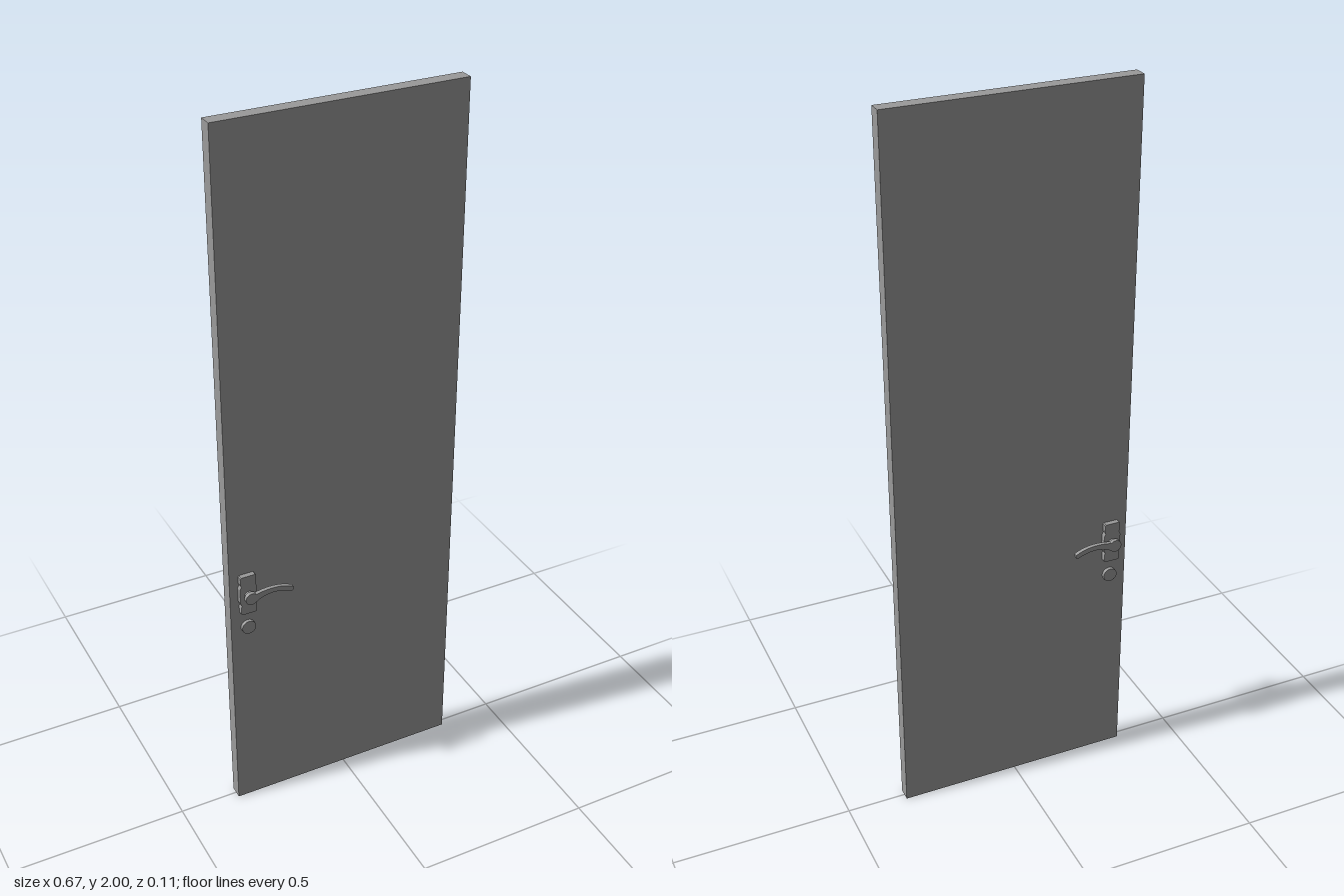
import * as THREE from 'three';
import { toCreasedNormals } from 'three/addons/utils/BufferGeometryUtils.js';

const material = new THREE.MeshStandardMaterial({ color: 0x9a9a9a });
const FACE = 0.0188; // half the thickness of the door
const X = -0.286; // axis of the lock hardware
const Y = 0.709; // height of the lever spindle

function add(parent, name, geometry, x = 0, y = 0, z = 0) {
  const mesh = new THREE.Mesh(toCreasedNormals(geometry, 0.6), material);
  mesh.name = name;
  mesh.position.set(x, y, z);
  parent.add(mesh);
}

function extrude(shape, depth) {
  return new THREE.ExtrudeGeometry(shape, { depth, bevelEnabled: false, curveSegments: 10 });
}

// Round part whose axis runs along z
function disc(radius, depth) {
  return new THREE.CylinderGeometry(radius, radius, depth, 20).rotateX(Math.PI / 2);
}

// Tall plate with squared ends, slight notches and a wider middle
function plateShape() {
  const side = [[0.02, -0.06], [0.0225, -0.057], [0.0225, -0.036], [0.02, -0.032],
    [0.0245, -0.022], [0.0245, 0.022], [0.02, 0.032], [0.0225, 0.036],
    [0.0225, 0.057], [0.02, 0.06]];
  const mirrored = side.map(([x, y]) => [-x, y]).reverse();
  return new THREE.Shape([...side, ...mirrored].map(([x, y]) => new THREE.Vector2(x, y)));
}

// Round hub flowing into an arched grip
function leverShape() {
  const r = 0.0175;
  const s = new THREE.Shape();
  s.absarc(0, 0, r, 0.75, Math.PI * 2 - 0.75, false);
  s.bezierCurveTo(0.04, 0.006, 0.075, 0.008, 0.115, -0.011);
  s.quadraticCurveTo(0.122, -0.009, 0.12, 0.001);
  s.bezierCurveTo(0.085, 0.021, 0.045, 0.019, r * Math.cos(0.75), r * Math.sin(0.75));
  return s;
}

// All the hardware of one face
function createHardware(name) {
  const group = new THREE.Group();
  group.name = name;
  add(group, 'plate', extrude(plateShape(), 0.0144), X, Y, FACE);
  add(group, 'spindle', disc(0.0117, 0.027), X, Y, 0.0315);
  add(group, 'lever', extrude(leverShape(), 0.0108), X, Y, 0.044);
  add(group, 'lockCylinder', disc(0.02, 0.01), X, 0.598, FACE + 0.005);
  return group;
}

// Reflect geometry through the door plane and restore the corner order
function mirrorZ(geometry) {
  const g = geometry.clone().scale(1, 1, -1);
  const p = g.attributes.position;
  const a = new THREE.Vector3();
  const b = new THREE.Vector3();
  for (let i = 0; i < p.count; i += 3) {
    a.fromBufferAttribute(p, i + 1);
    b.fromBufferAttribute(p, i + 2);
    p.setXYZ(i + 1, b.x, b.y, b.z);
    p.setXYZ(i + 2, a.x, a.y, a.z);
  }
  return toCreasedNormals(g, 0.6);
}

export function createModel() {
  const door = new THREE.Group();
  door.name = 'door';
  add(door, 'doorLeaf', new THREE.BoxGeometry(0.668, 2, FACE * 2), 0, 1, 0);

  const front = createHardware('frontHardware');
  const back = createHardware('backHardware');
  back.children.forEach((mesh) => {
    mesh.geometry = mirrorZ(mesh.geometry);
    mesh.position.z *= -1;
  });
  door.add(front, back);
  return door;
}
